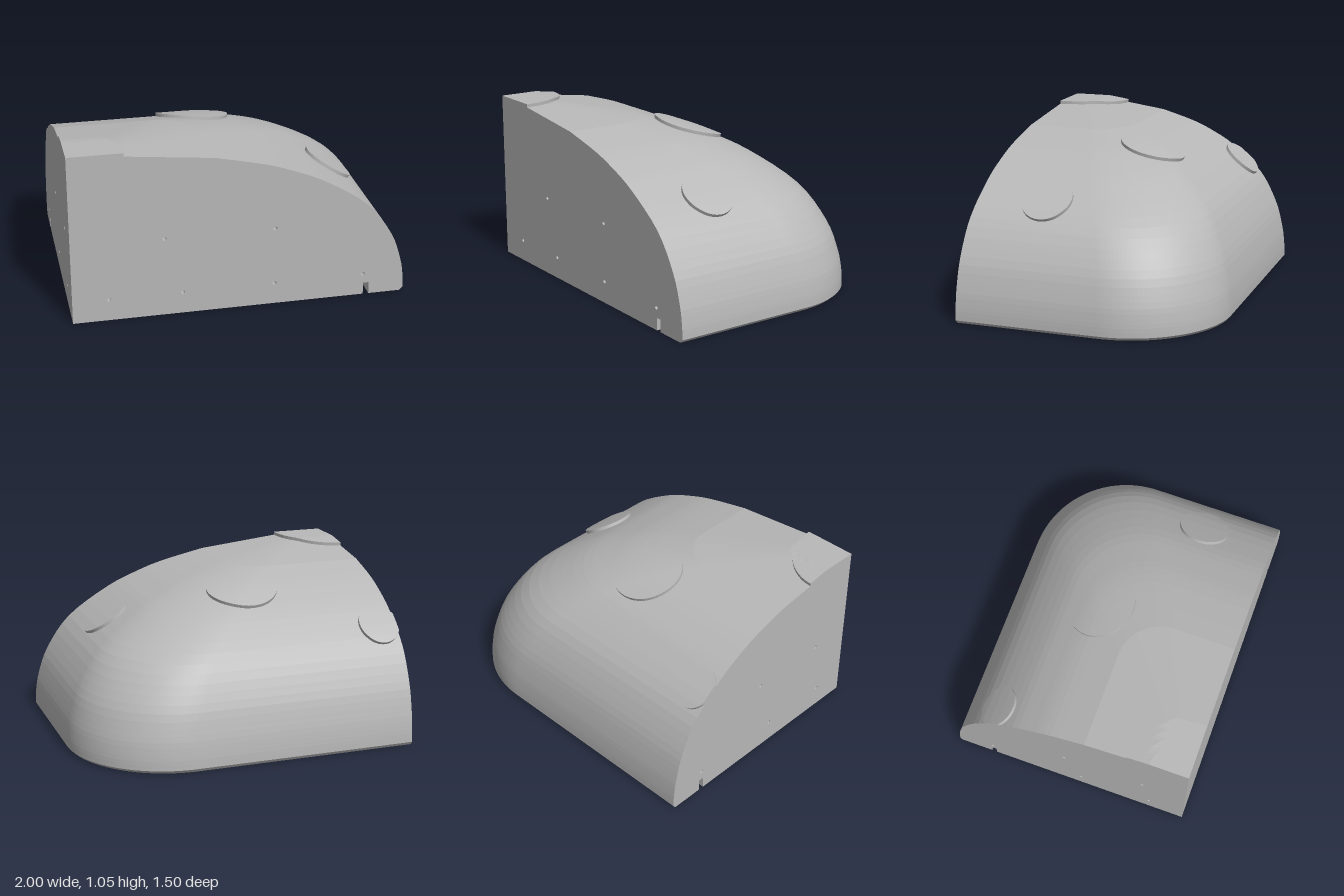
import * as THREE from 'three';

// Local plan coordinates: a = distance from the left cut face, b = distance from the front cut face.
const WIDTH = 2, DEPTH = 1.5, RADIUS = 0.62;
const toX = (a) => a - WIDTH / 2;
const toZ = (b) => DEPTH / 2 - b;

// Outline of a quarter rounded rectangle, from the front cut face round to the left cut face
function outline(w, d, r, y, steps = 40) {
  const ring = [[w, 0, y]];
  for (let i = 0; i <= steps; i++) {
    const t = (i / steps) * Math.PI / 2;
    ring.push([w - r + r * Math.cos(t), d - r + r * Math.sin(t), y]);
  }
  ring.push([0, d, y]);
  return ring;
}
const scaled = (s, y) => outline(WIDTH * s, DEPTH * s, RADIUS * s, y);
const inset = (d, y) => outline(WIDTH - d, DEPTH - d, RADIUS - d, y);

// Skin through rows of [a, b, y] points
function loft(rows) {
  const pos = [], idx = [], n = rows[0].length;
  rows.forEach((row) => row.forEach(([a, b, y]) => pos.push(toX(a), y, toZ(b))));
  for (let i = 0; i < rows.length - 1; i++) {
    for (let j = 0; j < n - 1; j++) {
      const p = i * n + j, q = p + n;
      idx.push(p, q, q + 1, p, q + 1, p + 1);
    }
  }
  const g = new THREE.BufferGeometry();
  g.setAttribute('position', new THREE.Float32BufferAttribute(pos, 3));
  g.setIndex(idx);
  g.computeVertexNormals();
  return g;
}

// Dome profile: [outline scale, height], top to rim
const curve = new THREE.SplineCurve([
  [0.42, 0.975], [0.56, 0.912], [0.65, 0.853], [0.75, 0.765], [0.88, 0.592],
  [0.955, 0.39], [0.987, 0.22], [0.998, 0.1], [1, 0.02],
].map(([s, y]) => new THREE.Vector2(s, y)));
const profile = [[0, 1.03], [0.16, 1.03], ...curve.getPoints(32).map((p) => [Math.min(p.x, 1), p.y])];

// Outline scale passing through a plan point
function scaleAt(a, b) {
  if (b * WIDTH <= a * (DEPTH - RADIUS)) return a / WIDTH;
  if (a * DEPTH <= b * (WIDTH - RADIUS)) return b / DEPTH;
  const ca = WIDTH - RADIUS, cb = DEPTH - RADIUS;
  const k = ca * ca + cb * cb - RADIUS * RADIUS, dot = a * ca + b * cb;
  return (dot - Math.sqrt(Math.max(0, dot * dot - k * (a * a + b * b)))) / k;
}

function heightAt(a, b) {
  const s = scaleAt(Math.abs(a), Math.abs(b));
  for (let i = 1; i < profile.length; i++) {
    const [s0, y0] = profile[i - 1], [s1, y1] = profile[i];
    if (s <= s1) return y0 + (y1 - y0) * (s - s0) / (s1 - s0 || 1);
  }
  return 0;
}

// Raised oval patch that follows the dome
function spotGeometry(ca, cb, ra, rb) {
  const lift = 0.02, e = 0.02, rings = 8, sides = 56;
  const rows = [];
  const foot = [];
  for (let i = 0; i <= rings; i++) {
    const row = [];
    for (let j = 0; j <= sides; j++) {
      const t = (j / sides) * Math.PI * 2;
      const a = Math.max(0, ca + ra * (i / rings) * Math.cos(t));
      const b = Math.max(0, cb + rb * (i / rings) * Math.sin(t));
      const n = new THREE.Vector3(
        (heightAt(a - e, b) - heightAt(a + e, b)) / (2 * e), 1,
        (heightAt(a, b - e) - heightAt(a, b + e)) / (2 * e),
      ).normalize();
      const fa = Math.max(0, a - lift * n.x), fb = Math.max(0, b - lift * n.z);
      row.push([a, b, heightAt(fa, fb) + lift * n.y]);
      if (i === rings) foot.push([fa, fb, heightAt(fa, fb) - 0.004]);
    }
    rows.push(row);
  }
  rows.push(foot);
  return loft(rows);
}

export function createModel() {
  const model = new THREE.Group();
  const grey = new THREE.MeshStandardMaterial({ color: 0xb8b8b8, flatShading: true, side: THREE.DoubleSide });
  grey.name = 'grey';

  const add = (parent, name, geometry) => {
    const mesh = new THREE.Mesh(geometry, grey);
    mesh.name = name;
    parent.add(mesh);
    return mesh;
  };

  // Dome, chamfered rim, and underside with its groove
  const rows = [
    ...profile.map(([s, y]) => scaled(s, y)),
    scaled(0.99, 0),
    inset(0.215, 0), inset(0.215, 0.075), inset(0.25, 0.075), inset(0.25, 0),
    scaled(0, 0),
  ];
  add(model, 'dome', loft(rows));

  // Flat cut face with small bored pin holes; sign mirrors the outline
  const cutFace = (name, points, holes, sign) => {
    const group = new THREE.Group();
    group.name = name;
    const shape = new THREE.Shape(points.map(([u, y]) => new THREE.Vector2(sign * u, y)));
    holes.forEach(([u, y]) => {
      const hole = new THREE.Path();
      hole.absarc(sign * u, y, 0.012, 0, Math.PI * 2, true);
      shape.holes.push(hole);
      const bore = new THREE.CylinderGeometry(0.012, 0.012, 0.1, 16, 1, true).rotateX(Math.PI / 2);
      add(group, 'pinHole', bore).position.set(sign * u, y, -0.05);
      add(group, 'pinHoleEnd', new THREE.CircleGeometry(0.012, 16)).position.set(sign * u, y, -0.1);
    });
    add(group, name + 'Plate', new THREE.ShapeGeometry(shape, 8));
    model.add(group);
    return group;
  };

  const front = cutFace('frontCutFace', rows.map((r) => [r[0][0], r[0][2]]),
    [[0.545, 0.495], [1.2, 0.495], [0.215, 0.135], [0.65, 0.135], [1.2, 0.135], [1.745, 0.135]], 1);
  front.position.set(toX(0), 0, toZ(0));

  const side = cutFace('sideCutFace', rows.map((r) => [r[r.length - 1][1], r[r.length - 1][2]]),
    [[0.27, 0.49], [0.77, 0.49], [0.22, 0.135], [0.67, 0.135], [1.265, 0.135]], -1);
  side.rotation.y = -Math.PI / 2;
  side.position.set(toX(0), 0, toZ(0));

  // Raised spots: centre a, centre b, radius a, radius b
  [
    ['crownSpot', 0, 0, 0.325, 0.378],
    ['largeSpot', 0.868, 0.843, 0.223, 0.2],
    ['rimSpot', 1.635, 0.437, 0.133, 0.155],
    ['backSpot', 0.113, 1.226, 0.128, 0.101],
  ].forEach(([name, ...oval]) => add(model, name, spotGeometry(...oval)));

  return model;
}
